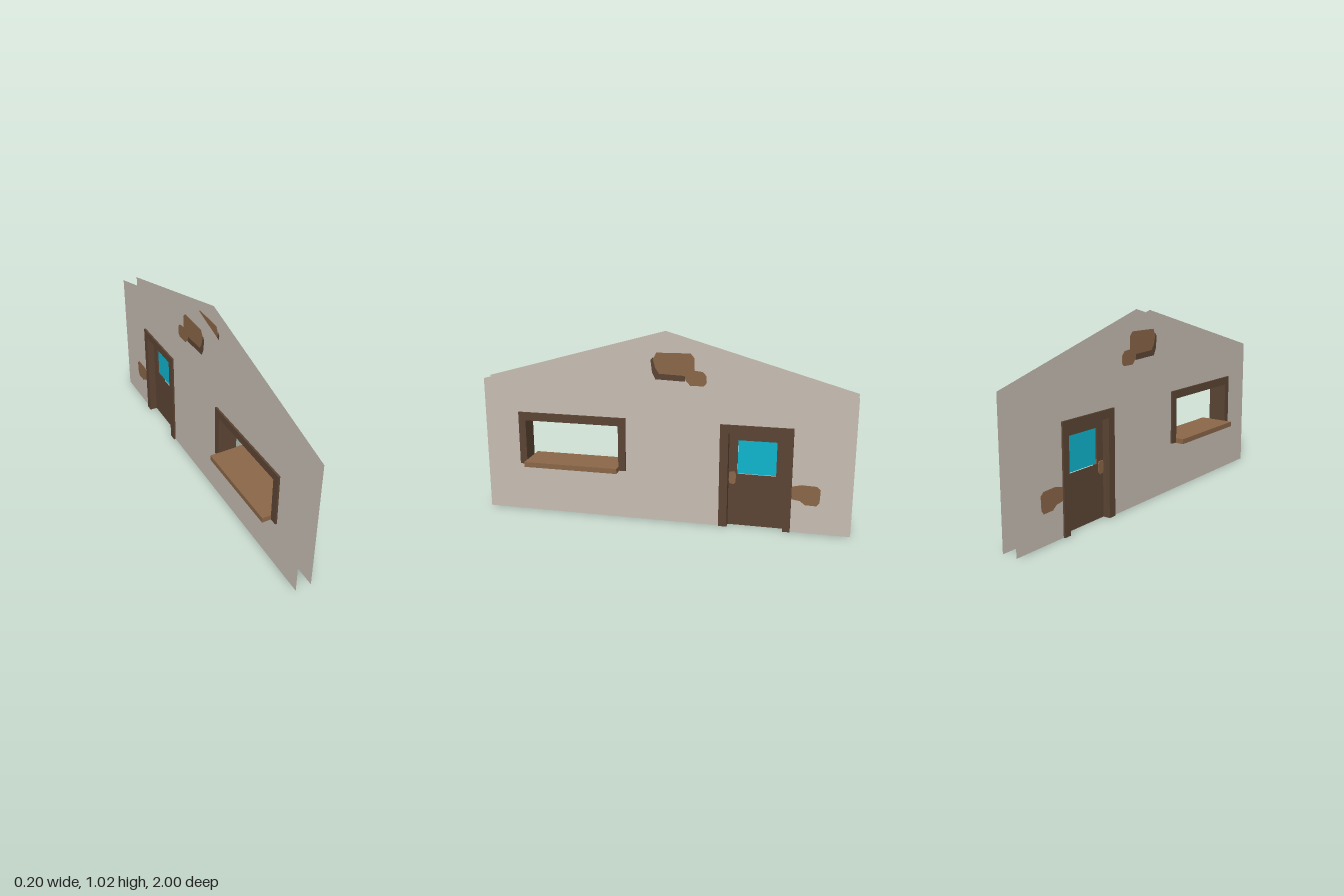
import * as THREE from 'three';

const mat = (name, color, side = THREE.FrontSide) => {
  const m = new THREE.MeshStandardMaterial({ color, side });
  m.name = name;
  return m;
};

export function createModel() {
  const plaster = mat('plaster', 0xc8beb3, THREE.DoubleSide);
  const darkWood = mat('darkWood', 0x5c4534);
  const lightWood = mat('lightWood', 0x8b6748);
  const glass = mat('glass', 0x0fb5ce);

  const house = new THREE.Group();
  house.name = 'gableWall';
  const WALL_X = 0.043;

  const add = (name, geometry, material, parent = house) => {
    const mesh = new THREE.Mesh(geometry, material);
    mesh.name = name;
    parent.add(mesh);
    return mesh;
  };
  // Box given by its extents along x, y and z
  const box = (name, material, x0, x1, y0, y1, z0, z1, parent) => {
    const g = new THREE.BoxGeometry(x1 - x0, y1 - y0, z1 - z0);
    g.translate((x0 + x1) / 2, (y0 + y1) / 2, (z0 + z1) / 2);
    return add(name, g, material, parent);
  };
  // Outlines are drawn as [z, y] and stand in the plane of the wall
  const points = (list) => list.map(([z, y]) => new THREE.Vector2(-z, y));
  const rect = (z0, z1, y0, y1) => points([[z0, y0], [z1, y0], [z1, y1], [z0, y1]]);
  const plate = (outline, thickness, x, holes = []) => {
    const shape = new THREE.Shape(outline);
    holes.forEach((h) => shape.holes.push(new THREE.Path(h)));
    const g = new THREE.ExtrudeGeometry(shape, { depth: thickness, bevelEnabled: false });
    return g.translate(0, 0, -thickness / 2).rotateY(Math.PI / 2).translate(x, 0, 0);
  };

  // Wall sheets: gable outline with a door notch and a window hole
  const wallOutline = points([
    [1, 0], [1, 0.743], [0, 1.025], [-1, 0.743], [-1, 0],
    [-0.65, 0], [-0.65, 0.52], [-0.355, 0.52], [-0.355, 0],
  ]);
  const wallShape = new THREE.Shape(wallOutline);
  wallShape.holes.push(new THREE.Path(rect(0.24, 0.765, 0.27, 0.52)));

  // Bare patches where the plaster has fallen off
  const gablePatch = points([
    [0.03, 0.925], [-0.15, 0.928], [-0.17, 0.905], [-0.17, 0.84], [-0.215, 0.835],
    [-0.233, 0.815], [-0.233, 0.775], [-0.22, 0.76], [-0.15, 0.76], [-0.125, 0.785],
    [-0.12, 0.81], [0.015, 0.815], [0.035, 0.845], [0.048, 0.89],
  ]);
  const patchEdge = points([
    [0.048, 0.9], [0.06, 0.885], [0.052, 0.82], [0.035, 0.785], [-0.122, 0.78],
    [-0.12, 0.81], [0.015, 0.815], [0.035, 0.845], [0.048, 0.89],
  ]);
  const doorPatch = points([
    [-0.68, 0.25], [-0.74, 0.265], [-0.82, 0.262], [-0.838, 0.245], [-0.835, 0.175],
    [-0.82, 0.155], [-0.76, 0.157], [-0.735, 0.177], [-0.68, 0.185],
  ]);

  // Casing: two jambs and a head on one face of the wall
  const casing = (name, side, z0, z1, y0, w0, w1) => {
    const group = new THREE.Group();
    group.name = name;
    house.add(group);
    const [x0, x1] = side > 0 ? [0.036, 0.053] : [-0.053, -0.036];
    box('jamb', darkWood, x0, x1, y0, 0.565, z0, w0, group);
    box('jamb', darkWood, x0, x1, y0, 0.565, w1, z1, group);
    box('head', darkWood, x0, x1, 0.52, 0.565, w0, w1, group);
  };

  for (const side of [1, -1]) {
    const x = side * WALL_X;
    add('wallSheet', new THREE.ShapeGeometry(wallShape).rotateY(Math.PI / 2).translate(x, 0, 0), plaster);
    add('gablePatch', plate(gablePatch, 0.004, x), lightWood);
    add('gablePatchEdge', plate(patchEdge, 0.004, x), darkWood);
    add('doorPatch', plate(doorPatch, 0.004, x), lightWood);
    casing('windowCasing', side, 0.2, 0.805, 0.27, 0.24, 0.765);
    casing('doorCasing', side, -0.69, -0.31, 0, -0.65, -0.355);
    // Handle plate
    const handle = points([
      [-0.362, 0.3], [-0.388, 0.3], [-0.396, 0.285], [-0.392, 0.24],
      [-0.385, 0.232], [-0.362, 0.235], [-0.357, 0.25], [-0.357, 0.29],
    ]);
    add('doorHandle', plate(handle, 0.006, side * 0.014), lightWood);
  }

  // Linings through the wall thickness
  const lining = (name, z0, z1, y0) => {
    const t = 0.004;
    box(name, darkWood, -0.036, 0.036, y0, 0.52, z0 - t, z0);
    box(name, darkWood, -0.036, 0.036, y0, 0.52, z1, z1 + t);
    box(name, darkWood, -0.036, 0.036, 0.52, 0.52 + t, z0, z1);
  };
  lining('windowLining', 0.24, 0.765, 0.27);
  lining('doorLining', -0.65, -0.355, 0);

  // Window sill reaching out on both sides
  box('windowSill', lightWood, -0.1, 0.1, 0.267, 0.295, 0.238, 0.764);

  // Door leaf with a slightly sunken pane
  const paneHole = rect(-0.605, -0.402, 0.29, 0.475);
  add('doorLeaf', plate(rect(-0.65, -0.355, 0, 0.52), 0.024, 0, [paneHole]), darkWood);
  add('doorPane', plate(paneHole, 0.009, 0), glass);

  return house;
}
